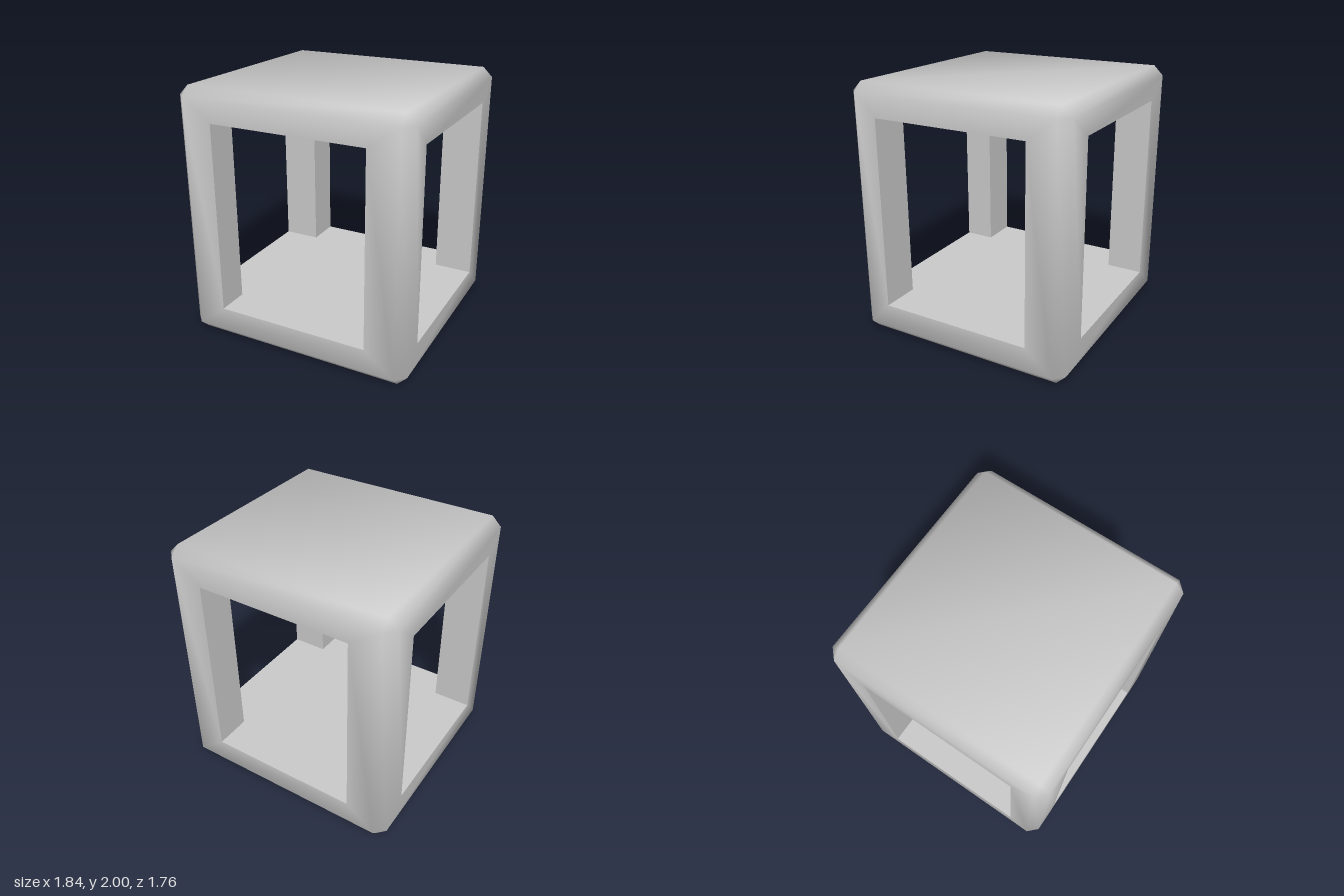
import * as THREE from 'three';
import { toCreasedNormals } from 'three/addons/utils/BufferGeometryUtils.js';

const HALF = [0.92, 1, 0.88]; // half size of the block
const BEVEL = 0.075;
// limits of the openings on each axis, measured from the block's centre
const LOW = [-0.61, -0.74, -0.59];
const HIGH = [0.61, 0.76, 0.63];
const SIGNS = [-1, 1];
const LOOP = [[-1, -1], [1, -1], [1, 1], [-1, 1]];

// Collects convex polygons, each turned to face the wanted direction
class Faces {
  positions = [];
  add(points, facing) {
    const p = points.map((a) => new THREE.Vector3(...a));
    const n = p[1].clone().sub(p[0]).cross(p[2].clone().sub(p[0]));
    if (n.dot(new THREE.Vector3(...facing)) < 0) p.reverse();
    for (let i = 1; i < p.length - 1; i++) {
      for (const v of [p[0], p[i], p[i + 1]]) this.positions.push(v.x, v.y, v.z);
    }
  }
  mesh(name) {
    const geometry = new THREE.BufferGeometry();
    geometry.setAttribute('position', new THREE.Float32BufferAttribute(this.positions, 3));
    const mesh = new THREE.Mesh(
      toCreasedNormals(geometry, THREE.MathUtils.degToRad(65)),
      new THREE.MeshStandardMaterial({ color: 0xcccccc })
    );
    mesh.name = name;
    return mesh;
  }
}

// Builds a point or direction from values on named axes
const onAxes = (...pairs) => {
  const out = [0, 0, 0];
  for (const [axis, value] of pairs) out[axis] = value;
  return out;
};
// Corner of the flat side that lies across the given axis
const corner = (signs, axis) => signs.map((s, i) => s * (HALF[i] - (i === axis ? 0 : BEVEL)));
const limit = (axis, sign) => (sign < 0 ? LOW[axis] : HIGH[axis]);

function outerShell() {
  const faces = new Faces();
  for (let a = 0; a < 3; a++) {
    const b = (a + 1) % 3, c = (a + 2) % 3;
    for (const s of SIGNS) {
      // flat side: plain for top and bottom, a frame around an opening elsewhere
      const facing = onAxes([a, s]);
      const outer = LOOP.map(([u, w]) => corner(onAxes([a, s], [b, u], [c, w]), a));
      if (a === 1) faces.add(outer, facing);
      else {
        const inner = LOOP.map(([u, w]) => onAxes([a, s * HALF[a]], [b, limit(b, u)], [c, limit(c, w)]));
        for (let i = 0; i < 4; i++) {
          const j = (i + 1) % 4;
          faces.add([outer[i], outer[j], inner[j], inner[i]], facing);
        }
      }
      // bevelled edges between this side and the next axis
      for (const t of SIGNS) {
        const ends = SIGNS.map((e) => onAxes([a, s], [b, t], [c, e]));
        faces.add([corner(ends[0], a), corner(ends[1], a), corner(ends[1], b), corner(ends[0], b)],
          onAxes([a, s], [b, t]));
      }
    }
  }
  // bevelled corners
  for (const x of SIGNS) for (const y of SIGNS) for (const z of SIGNS) {
    faces.add([0, 1, 2].map((axis) => corner([x, y, z], axis)), [x, y, z]);
  }
  return faces.mesh('outerShell');
}

// Inner faces of the four corner posts
function postLinings() {
  const faces = new Faces();
  for (const [a, c] of [[0, 2], [2, 0]]) {
    for (const s of SIGNS) for (const t of SIGNS) {
      const near = limit(c, t), far = t * HALF[c];
      const quad = [[LOW[1], near], [LOW[1], far], [HIGH[1], far], [HIGH[1], near]];
      faces.add(quad.map(([y, w]) => onAxes([a, limit(a, s)], [1, y], [c, w])), onAxes([a, -s]));
    }
  }
  return faces.mesh('postLinings');
}

// Cross-shaped floor or ceiling reaching out through the four openings
function innerDeck(name, y, up) {
  const faces = new Faces();
  const rect = (x0, x1, z0, z1) =>
    faces.add([[x0, y, z0], [x1, y, z0], [x1, y, z1], [x0, y, z1]], [0, up, 0]);
  rect(LOW[0], HIGH[0], -HALF[2], HALF[2]);
  rect(-HALF[0], LOW[0], LOW[2], HIGH[2]);
  rect(HIGH[0], HALF[0], LOW[2], HIGH[2]);
  return faces.mesh(name);
}

export function createModel() {
  const group = new THREE.Group();
  group.name = 'openFrameBlock';
  group.add(
    outerShell(),
    postLinings(),
    innerDeck('floor', LOW[1], 1),
    innerDeck('ceiling', HIGH[1], -1)
  );
  for (const part of group.children) part.position.y = HALF[1];
  return group;
}
